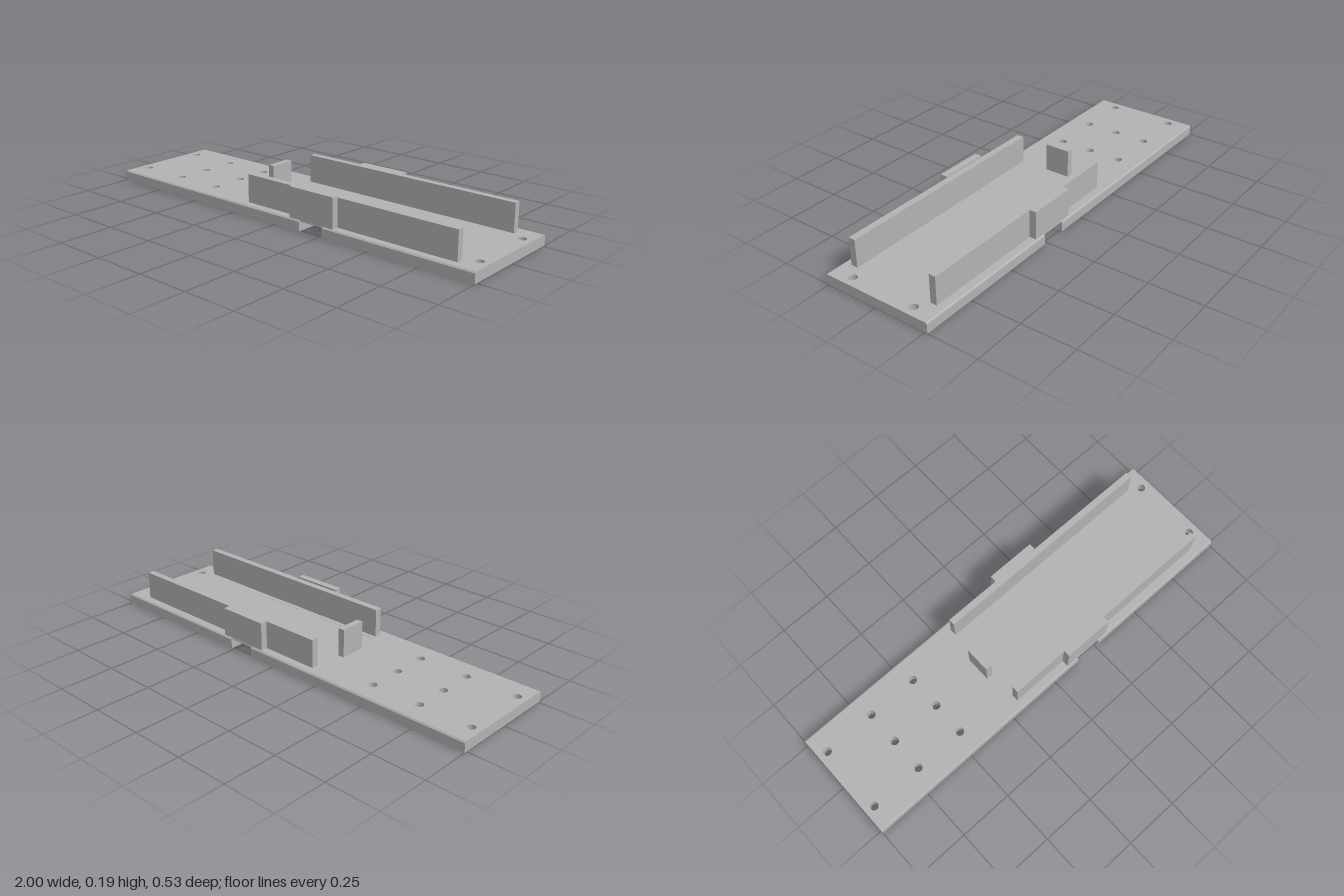
import * as THREE from 'three';

export function createModel() {
  const group = new THREE.Group();
  const grey = new THREE.MeshStandardMaterial({ color: 0xb2b2b2 });
  grey.name = 'plain grey';
  const T = 0.048, HALF = 0.263;

  function add(name, geometry) {
    const mesh = new THREE.Mesh(geometry, grey);
    mesh.name = name;
    group.add(mesh);
  }
  function box(name, x0, x1, y0, y1, z0, z1) {
    const g = new THREE.BoxGeometry(x1 - x0, y1 - y0, z1 - z0);
    add(name, g.translate((x0 + x1) / 2, (y0 + y1) / 2, (z0 + z1) / 2));
  }

  // Flat plate with drilled holes and softened long top edges
  function plate(name, x0, x1, holes) {
    const s = new THREE.Shape([[x0, -HALF], [x1, -HALF], [x1, HALF], [x0, HALF]]
      .map(([x, y]) => new THREE.Vector2(x, y)));
    for (const [x, z] of holes) {
      s.holes.push(new THREE.Path().absarc(x, -z, 0.019, 0, Math.PI * 2, true));
    }
    const g = new THREE.ExtrudeGeometry(s, { depth: T, steps: 8, bevelEnabled: false, curveSegments: 24 });
    g.rotateX(-Math.PI / 2);
    const p = g.attributes.position;
    for (let i = 0; i < p.count; i++) {
      const z = p.getZ(i);
      if (Math.abs(z) > HALF - 0.001 && p.getY(i) > T - 0.001) p.setZ(i, Math.sign(z) * (HALF - 0.006));
    }
    g.computeVertexNormals();
    add(name, g);
  }
  const R = 0.159;
  plate('longPlate', -1, 0.14, [[-0.955, -R], [-0.955, R],
    ...[-0.71, -0.473].flatMap(x => [-R, 0, R].map(z => [x, z]))]);
  plate('shortPlate', 0.265, 1, [[0.955, -R], [0.955, R]]);

  // Thin skin bridging the groove under the plate
  box('grooveBridge', 0.14, 0.265, 0.043, T, -0.257, 0.257);

  // Guide rails with their outer clips, and the end stop
  box('frontRail', -0.193, 0.898, T, 0.178, 0.192, 0.224);
  box('backRail', -0.193, 0.898, T, 0.178, -0.222, -0.191);
  box('frontClip', 0.08, 0.317, T, 0.186, 0.224, 0.256);
  box('backClip', 0.08, 0.317, T, 0.178, -0.254, -0.222);
  box('endStop', -0.225, -0.195, T, 0.178, -0.06, 0.06);

  // Slim raised slivers along the front rail
  for (const pts of [
    [[-0.19, 0.169], [0.14, 0.169], [0.14, 0.192], [-0.1, 0.192], [-0.19, 0.178]],
    [[0.265, 0.169], [0.46, 0.169], [0.455, 0.175], [0.34, 0.192], [0.265, 0.192]],
  ]) {
    const s = new THREE.Shape(pts.map(([x, z]) => new THREE.Vector2(x, -z)));
    const g = new THREE.ExtrudeGeometry(s, { depth: 0.001, bevelEnabled: false });
    add('railSliver', g.rotateX(-Math.PI / 2).translate(0, T, 0));
  }
  return group;
}
